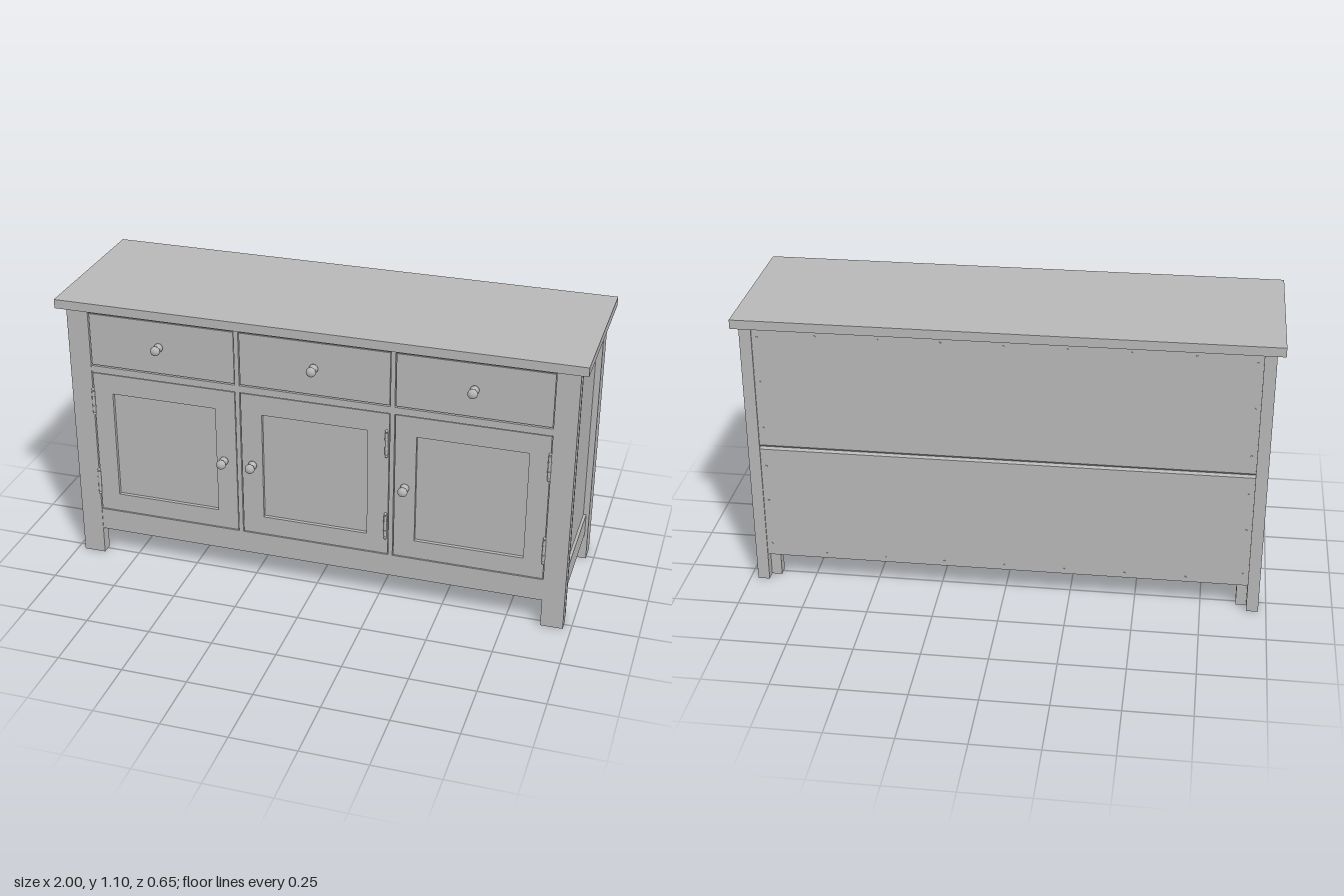
import * as THREE from 'three';

export function createModel() {
  const model = new THREE.Group();
  const grey = new THREE.MeshStandardMaterial({ color: 0xb8b8b8 });
  grey.name = 'painted grey';

  const add = (name, geometry, parent = model) => {
    const mesh = new THREE.Mesh(geometry, grey);
    mesh.name = name;
    parent.add(mesh);
    return mesh;
  };
  // Box given by its limits on each axis
  const box = (name, x0, x1, y0, y1, z0, z1, parent) => {
    const mesh = add(name, new THREE.BoxGeometry(x1 - x0, y1 - y0, z1 - z0), parent);
    mesh.position.set((x0 + x1) / 2, (y0 + y1) / 2, (z0 + z1) / 2);
    return mesh;
  };
  // The same box on the left and the right side
  const pair = (name, x0, x1, ...rest) => {
    box(name, x0, x1, ...rest);
    box(name, -x1, -x0, ...rest);
  };

  // Top and floor
  box('top', -1, 1, 1.065, 1.1, -0.325, 0.315);
  box('floor', -0.94, 0.94, 0.185, 0.2, -0.3, 0.25);

  // Legs, each with an L-shaped section
  pair('frontLegFace', 0.885, 0.97, 0, 1.065, 0.235, 0.28);
  pair('frontLegSide', 0.925, 0.965, 0, 1.065, 0.19, 0.235);
  pair('backLegOuter', 0.925, 0.97, 0, 1.065, -0.315, -0.235);
  pair('backLegInner', 0.885, 0.925, 0, 1.065, -0.275, -0.235);

  // Framed sides
  pair('sideTopRail', 0.925, 0.958, 0.975, 1.065, -0.235, 0.19);
  pair('sideBottomRail', 0.925, 0.958, 0.11, 0.2, -0.235, 0.19);
  pair('sidePanel', 0.925, 0.947, 0.2, 0.975, -0.235, 0.19);

  // Front frame
  box('frontBacking', -0.885, 0.885, 0.19, 1.065, 0.235, 0.25);
  box('frontTopRail', -0.885, 0.885, 1.045, 1.065, 0.25, 0.278);
  box('frontMiddleRail', -0.885, 0.885, 0.8, 0.828, 0.25, 0.278);
  box('frontBottomRail', -0.885, 0.885, 0.11, 0.2, 0.24, 0.278);
  pair('drawerDivider', 0.29, 0.307, 0.828, 1.045, 0.25, 0.278);
  pair('doorDivider', 0.29, 0.307, 0.2, 0.8, 0.25, 0.278);

  // Turned knob: foot, thin neck and rounded head
  const knobProfile = [[0, 0], [0.017, 0], [0.017, 0.005], [0.009, 0.011], [0.008, 0.02],
    [0.016, 0.027], [0.019, 0.034], [0.017, 0.042], [0.01, 0.048], [0, 0.049]]
    .map(([r, h]) => new THREE.Vector2(r, h));
  const knobShape = new THREE.LatheGeometry(knobProfile, 16).rotateX(Math.PI / 2);
  const knob = (x, y, parent) => add('knob', knobShape, parent).position.set(x, y, 0.276);

  // Hinge barrel with finials
  const hinge = (x, y, parent) => {
    const group = new THREE.Group();
    group.name = 'hinge';
    add('hingeBarrel', new THREE.CylinderGeometry(0.006, 0.006, 0.09, 10), group);
    for (const s of [-1, 1]) {
      add('hingeTip', new THREE.SphereGeometry(0.006, 8, 6), group).position.y = s * 0.052;
      add('hingeRing', new THREE.CylinderGeometry(0.0075, 0.0075, 0.006, 10), group).position.y = s * 0.02;
    }
    group.position.set(x, y, 0.279);
    parent.add(group);
  };

  // Three bays, each with a drawer above a framed door
  const bays = [
    { x0: -0.882, x1: -0.31, drawerKnob: -0.605, doorKnob: -0.36, hingeX: -0.885, panel: [-0.805, -0.39] },
    { x0: -0.287, x1: 0.287, drawerKnob: 0, doorKnob: -0.245, hingeX: 0.278, panel: [-0.205, 0.205] },
    { x0: 0.31, x1: 0.882, drawerKnob: 0.597, doorKnob: 0.35, hingeX: 0.88, panel: [0.39, 0.805] },
  ];
  for (const bay of bays) {
    const drawer = new THREE.Group();
    drawer.name = 'drawer';
    box('drawerFront', bay.x0, bay.x1, 0.832, 1.041, 0.25, 0.275, drawer);
    knob(bay.drawerKnob, 0.94, drawer);

    const door = new THREE.Group();
    door.name = 'door';
    const [p0, p1] = bay.panel;
    box('doorStile', bay.x0, p0, 0.203, 0.797, 0.25, 0.276, door);
    box('doorStile', p1, bay.x1, 0.203, 0.797, 0.25, 0.276, door);
    box('doorTopRail', p0, p1, 0.717, 0.797, 0.25, 0.276, door);
    box('doorBottomRail', p0, p1, 0.203, 0.278, 0.25, 0.276, door);
    box('doorPanel', p0, p1, 0.278, 0.717, 0.25, 0.262, door);
    knob(bay.doorKnob, 0.5, door);
    for (const y of [0.675, 0.325]) hinge(bay.hingeX, y, door);
    model.add(drawer, door);
  }

  // Back board with a grooved seam, profile drawn in (z, y)
  const section = new THREE.Shape([[0.295, 0.11], [0.31, 0.11], [0.31, 0.57], [0.302, 0.579],
    [0.31, 0.588], [0.31, 1.065], [0.295, 1.065]].map(([z, y]) => new THREE.Vector2(z, y)));
  const back = new THREE.ExtrudeGeometry(section, { depth: 1.85, bevelEnabled: false });
  back.translate(0, 0, -0.925).rotateY(Math.PI / 2);
  add('backBoard', back);

  // Small nails around the back board
  const nailShape = new THREE.CylinderGeometry(0.004, 0.004, 0.004, 8).rotateX(Math.PI / 2);
  const nail = (x, y) => add('nail', nailShape).position.set(x, y, -0.311);
  for (let i = -3; i <= 3; i++) for (const y of [0.13, 1.045]) nail(i * 0.23, y);
  for (const y of [0.16, 0.35, 0.5, 0.66, 0.85, 1.03]) for (const s of [-1, 1]) nail(s * 0.905, y);

  return model;
}
